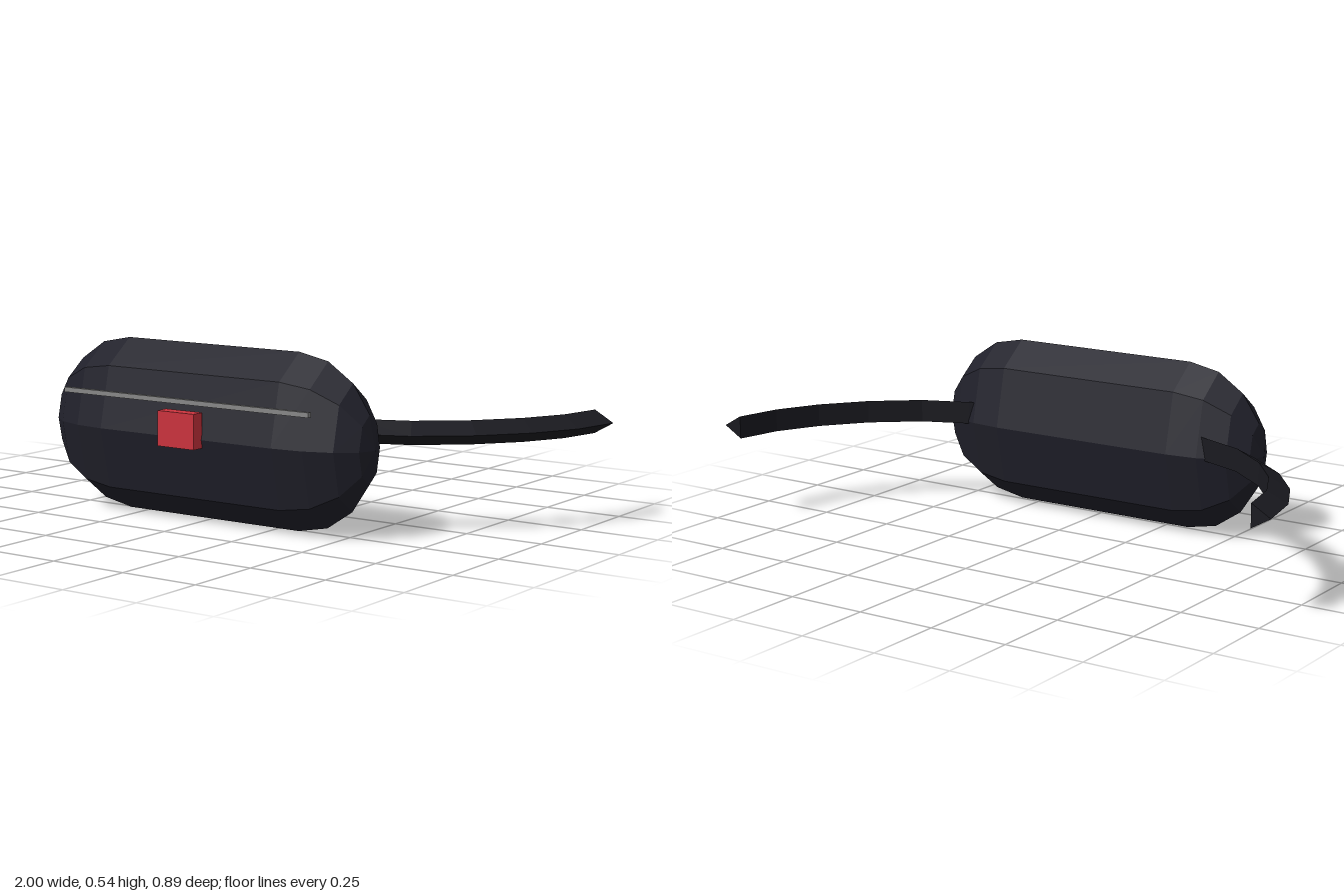
import * as THREE from 'three';

const material = (name, color) => {
  const m = new THREE.MeshStandardMaterial({ color, flatShading: true });
  m.name = name;
  return m;
};

// Sweeps a triangle along a level path, its point facing outwards
function triangularStrap(path, y, radius) {
  const rings = path.map(([x, z], i) => {
    const [ax, az] = path[Math.max(i - 1, 0)];
    const [bx, bz] = path[Math.min(i + 1, path.length - 1)];
    // The two ends are cut square to z
    const atEnd = i === 0 || i === path.length - 1;
    const t = atEnd
      ? new THREE.Vector2(0, Math.sign(bz - az))
      : new THREE.Vector2(bx - ax, bz - az).normalize();
    const corner = (out, up) => [x + t.y * out * radius, y + up * radius, z - t.x * out * radius];
    return [corner(1, 0), corner(-0.5, 0.866), corner(-0.5, -0.866)];
  });
  const positions = [];
  const tri = (...corners) => corners.forEach((c) => positions.push(...c));
  for (let i = 0; i < rings.length - 1; i++) {
    for (let j = 0; j < 3; j++) {
      const k = (j + 1) % 3;
      const [a, b, c, d] = [rings[i][j], rings[i][k], rings[i + 1][k], rings[i + 1][j]];
      tri(a, b, c);
      tri(a, c, d);
    }
  }
  const first = rings[0];
  tri(first[0], first[2], first[1]);
  tri(...rings[rings.length - 1]);
  const geometry = new THREE.BufferGeometry();
  geometry.setAttribute('position', new THREE.Float32BufferAttribute(positions, 3));
  geometry.computeVertexNormals();
  return geometry;
}

export function createModel() {
  const group = new THREE.Group();
  const add = (name, geometry, mat, x, y, z) => {
    const mesh = new THREE.Mesh(geometry, mat);
    mesh.name = name;
    mesh.position.set(x, y, z);
    group.add(mesh);
  };

  const fabric = material('dark fabric', 0x20202a);
  const webbing = material('black webbing', 0x1a1a20);
  const metal = material('grey zip', 0x888888);
  const red = material('red buckle', 0xcc333d);

  // Pouch: faceted capsule lying along x, flattened front to back
  const pouch = new THREE.CapsuleGeometry(0.27, 0.645, 4, 8);
  pouch.rotateZ(Math.PI / 2);
  pouch.scale(1, 1, 0.54);
  add('pouch', pouch, fabric, 0, 0.27, 0.26);

  // Zip and buckle on the front
  add('zip', new THREE.BoxGeometry(0.92, 0.015, 0.015), metal, 0, 0.381, 0.406);
  add('buckle', new THREE.BoxGeometry(0.136, 0.108, 0.043), red, 0, 0.299, 0.422);

  // Waist strap: one curved half, mirrored, joined inside the pouch
  const half = [
    [0.958, -0.445], [0.927, -0.296], [0.858, -0.157],
    [0.752, -0.023], [0.61, 0.093], [0.46, 0.155], [0.3, 0.22],
  ];
  const path = [...half, ...half.map(([x, z]) => [-x, z]).reverse()];
  add('waistStrap', triangularStrap(path, 0.299, 0.042), webbing, 0, 0, 0);

  return group;
}
